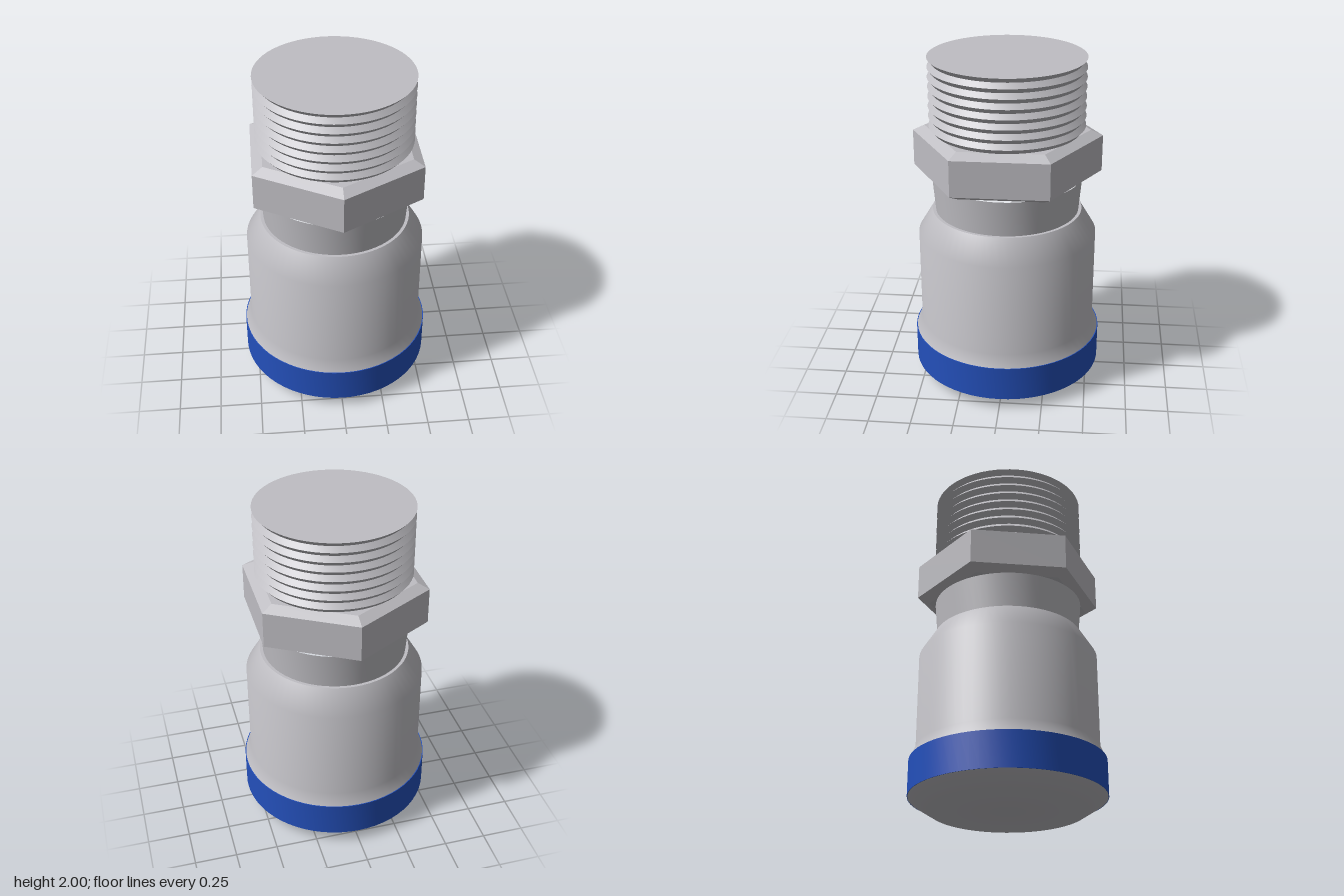
import * as THREE from 'three';
import { toCreasedNormals } from 'three/addons/utils/BufferGeometryUtils.js';

const steel = new THREE.MeshStandardMaterial({ color: 0xbfbec3 });
steel.name = 'steel grey';
const blue = new THREE.MeshStandardMaterial({ color: 0x2450bb });
blue.name = 'band blue';

// Turns a profile of [radius, y] points, listed from bottom to top
function turned(name, profile, material, segments = 64, crease = 0.7) {
  const points = profile.map(([r, y]) => new THREE.Vector2(r, y));
  const geometry = toCreasedNormals(new THREE.LatheGeometry(points, segments), crease);
  const mesh = new THREE.Mesh(geometry, material);
  mesh.name = name;
  return mesh;
}

export function createModel() {
  const group = new THREE.Group();
  group.name = 'pipeFitting';

  // Bevelled base
  group.add(turned('base', [[0, 0], [0.45, 0], [0.567, 0.075]], steel));

  // Coloured band around the socket
  group.add(turned('band', [[0.555, 0.075], [0.57, 0.075], [0.57, 0.285], [0.555, 0.285]], blue));

  // Socket body with flared foot and sloping shoulder
  group.add(turned('body', [
    [0.565, 0.285], [0.532, 0.36], [0.532, 0.93], [0.445, 1.075], [0.42, 1.075],
  ], steel));

  // Slightly flared neck
  group.add(turned('neck', [[0.426, 1.07], [0.445, 1.29]], steel));

  // Chamfered hexagonal nut
  group.add(turned('hexNut', [
    [0, 1.29], [0.485, 1.29], [0.555, 1.325], [0.555, 1.54], [0.485, 1.572], [0, 1.572],
  ], steel, 6, 0.1));

  // Thread ridges, ending with a crest at the flat top
  const pitch = 0.0571, ridges = 8, thread = [];
  for (let i = ridges - 1; i >= 0; i--) {
    const y = 2 - i * pitch;
    thread.push([0.431, y - pitch / 2], [0.456, y]);
  }
  thread.push([0, 2]);
  group.add(turned('thread', thread, steel));

  return group;
}
